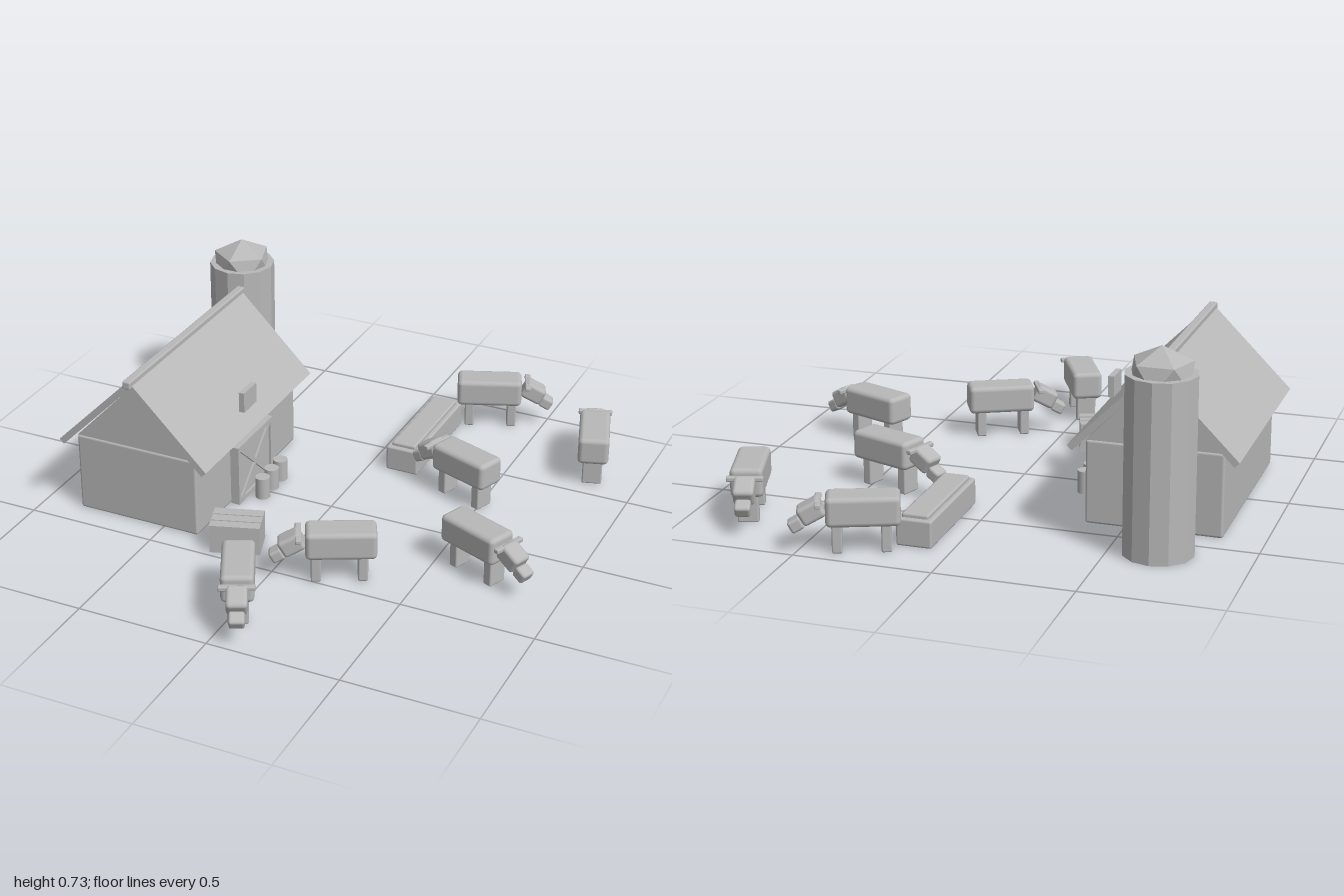
import * as THREE from 'three';
import { RoundedBoxGeometry } from 'three/addons/geometries/RoundedBoxGeometry.js';

const grey = new THREE.MeshStandardMaterial({ color: 0xb8b8b8 });
grey.name = 'plain grey';

function add(parent, name, geometry, x = 0, y = 0, z = 0) {
  const mesh = new THREE.Mesh(geometry, grey);
  mesh.name = name;
  mesh.position.set(x, y, z);
  parent.add(mesh);
  return mesh;
}
const box = (w, h, d) => new THREE.BoxGeometry(w, h, d);
const soft = (w, h, d, r) => new RoundedBoxGeometry(w, h, d, 2, r);

function group(parent, name, x = 0, z = 0, turn = 0) {
  const g = new THREE.Group();
  g.name = name;
  g.position.set(x, 0, z);
  g.rotation.y = turn;
  parent.add(g);
  return g;
}

function buildBarn(parent) {
  const barn = group(parent, 'barn', -0.603, -0.005);
  add(barn, 'walls', soft(0.496, 0.31, 0.81, 0.01), 0, 0.155, 0);

  // Triangular gable filling the space under the roof
  const tri = new THREE.Shape();
  tri.moveTo(-0.248, 0);
  tri.lineTo(0.248, 0);
  tri.lineTo(0, 0.258);
  const gable = new THREE.ExtrudeGeometry(tri, { depth: 0.8, bevelEnabled: false });
  add(barn, 'gable', gable, 0, 0.308, -0.4);

  // Two sloped roof slabs and the ridge beam
  for (const s of [-1, 1]) {
    const slab = add(barn, 'roofSlab', box(0.425, 0.025, 0.87), s * 0.147, 0.435, 0);
    slab.rotation.z = -s * Math.PI / 4;
  }
  add(barn, 'ridgeBeam', soft(0.032, 0.032, 0.9, 0.006), 0, 0.588, 0);
  add(barn, 'loftHatch', box(0.022, 0.08, 0.1), 0.259, 0.39, 0.008);

  // Barn door with frame and cross braces
  const door = group(barn, 'door', 0.25, 0);
  add(door, 'doorPanel', box(0.03, 0.235, 0.27), 0.012, 0.1175, 0);
  for (const s of [-1, 1]) {
    add(door, 'doorPost', box(0.035, 0.24, 0.018), 0.018, 0.12, s * 0.133);
    const brace = add(door, 'doorBrace', box(0.014, 0.31, 0.016), 0.028, 0.118, 0);
    brace.rotation.x = s * 0.83;
  }
  add(door, 'doorLintel', box(0.035, 0.02, 0.284), 0.018, 0.232, 0);
  add(door, 'doorSill', box(0.035, 0.018, 0.284), 0.018, 0.009, 0);
}

function buildSilo(parent) {
  const silo = group(parent, 'silo', -0.67, -0.595);
  const body = new THREE.CylinderGeometry(0.127, 0.127, 0.64, 12).toNonIndexed();
  body.computeVertexNormals();
  add(silo, 'siloBody', body, 0, 0.32, 0);
  // Faceted cap standing on one corner
  const cap = new THREE.IcosahedronGeometry(0.122, 0);
  cap.rotateX(-Math.atan((1 + Math.sqrt(5)) / 2));
  cap.scale(1, 0.79, 1);
  cap.computeVertexNormals();
  add(silo, 'siloCap', cap, 0, 0.638, 0);
}

function buildCow(parent, x, z, dx, dz) {
  const cow = group(parent, 'cow', x, z, Math.atan2(-dz, dx));
  add(cow, 'body', soft(0.255, 0.107, 0.117, 0.018), 0, 0.152, 0);
  for (const lx of [-0.078, 0.09])
    add(cow, 'legs', soft(0.036, 0.11, 0.075, 0.006), lx, 0.055, 0);
  const head = add(cow, 'head', soft(0.088, 0.068, 0.075, 0.014), 0.175, 0.146, 0);
  head.rotation.z = -0.5;
  const snout = add(cow, 'snout', soft(0.05, 0.045, 0.056, 0.01), 0.227, 0.1, 0);
  snout.rotation.z = -0.5;
  add(cow, 'ears', soft(0.022, 0.018, 0.13, 0.005), 0.152, 0.18, 0);
}

export function createModel() {
  const farm = new THREE.Group();
  farm.name = 'farm';
  buildBarn(farm);
  buildSilo(farm);

  // Milk cans beside the door
  for (const z of [-0.11, -0.035, 0.04])
    add(farm, 'milkCan', new THREE.CylinderGeometry(0.028, 0.028, 0.085, 20), -0.268, 0.0425, z);

  // Hay bale with two straps
  const bale = group(farm, 'hayBale', -0.195, 0.39, 0.32);
  add(bale, 'hay', box(0.185, 0.112, 0.13), 0, 0.056, 0);
  for (const s of [-1, 1])
    add(bale, 'strap', box(0.187, 0.006, 0.008), 0, 0.112, s * 0.022);

  // Feeding trough
  const trough = group(farm, 'trough', 0.135, -0.58);
  add(trough, 'troughBody', soft(0.13, 0.1, 0.46, 0.008), 0, 0.05, 0);
  add(trough, 'troughFill', soft(0.098, 0.03, 0.425, 0.008), 0, 0.1, 0);

  // Grazing herd: position, then facing direction
  const herd = [
    [0.29, -0.876, 40, -16],
    [0.802, -0.67, -13, -41],
    [0.433, -0.275, -38, -14],
    [0.66, 0.19, 39, 16],
    [0.237, 0.423, -40, 20],
    [0, 0.757, 18, 37],
  ];
  for (const c of herd) buildCow(farm, ...c);
  return farm;
}
